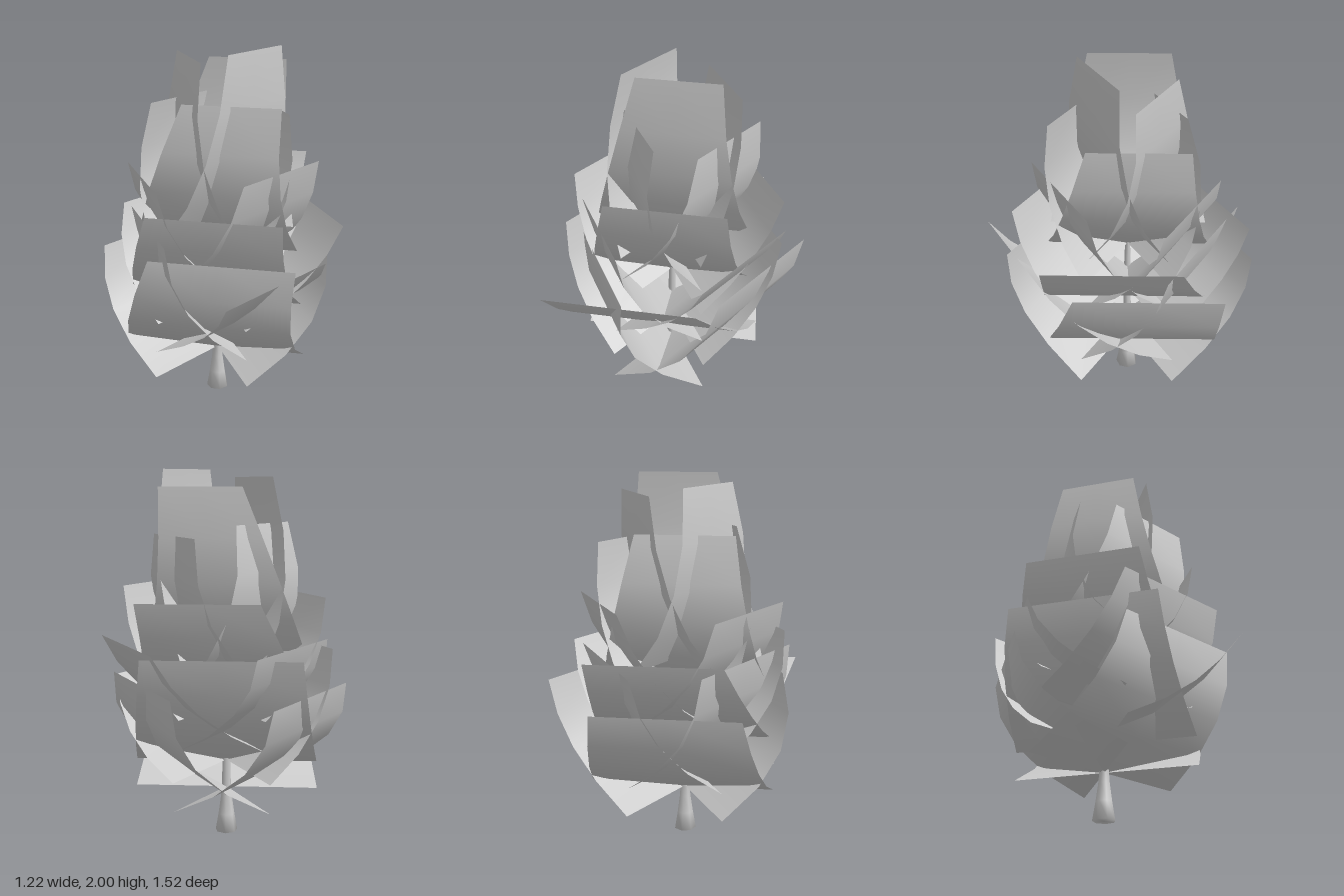
import * as THREE from 'three';

const TRUNK_Z = -0.06;
const ROWS = 4;

// Each tier: direction of its first leaf in degrees from +x towards +z, hub height on the
// trunk, leaf width at the hub, outward bulge, width at the top, and three leaves as
// [top radius, top height, sideways lean].
const TIERS = [
  { name: 'lowestTier', angle: 115, hub: 0.255, base: 1.01, bulge: 0.54, top: 0.78,
    leaves: [[0.46, 0.95, 0.11], [0.55, 0.85, -0.03], [0.55, 0.91, 0.11]] },
  { name: 'secondTier', angle: 55, hub: 0.41, base: 1.0, bulge: 0.41, top: 0.82,
    leaves: [[0.59, 0.87, -0.19], [0.42, 1.07, 0], [0.47, 1.06, 0]] },
  { name: 'thirdTier', angle: 115, hub: 0.57, base: 0.96, bulge: 0.43, top: 0.72,
    leaves: [[0.46, 1.19, 0.07], [0.48, 1.1, -0.1], [0.56, 1.09, -0.08]] },
  { name: 'fourthTier', angle: 55, hub: 0.73, base: 0.89, bulge: 0.38, top: 0.63,
    leaves: [[0.43, 1.39, 0.03], [0.43, 1.33, 0], [0.45, 1.34, -0.12]] },
  { name: 'fifthTier', angle: 115, hub: 0.89, base: 0.9, bulge: 0.37, top: 0.52,
    leaves: [[0.24, 1.74, 0.12], [0.21, 1.72, 0.03], [0.33, 1.66, 0.05]] },
  { name: 'topTier', angle: 55, hub: 1.03, base: 0.85, bulge: 0.28, top: 0.43,
    leaves: [[0.21, 2.0, 0.06], [0.16, 1.96, 0], [0.23, 1.91, -0.12]] },
];

// A curved leaf card: its wide lower edge runs through the trunk, then it sweeps out and up
function leafGeometry({ hub, base, bulge, top }, [topR, topY, lean], angle) {
  const profile = new THREE.QuadraticBezierCurve(
    new THREE.Vector2(0, hub),
    new THREE.Vector2(bulge, hub + 0.38 * (topY - hub)),
    new THREE.Vector2(topR, topY));
  const cos = Math.cos(angle), sin = Math.sin(angle);
  const positions = [], index = [];
  for (let i = 0; i <= ROWS; i++) {
    const u = i / ROWS;
    const { x: r, y } = profile.getPoint(u);
    const width = THREE.MathUtils.lerp(base, top, u);
    for (let j = 0; j < 3; j++) {
      const t = (j - 1) * width / 2 + lean * u * u;
      positions.push(r * cos + t * sin, y, r * sin - t * cos);
      if (i < ROWS && j < 2) {
        const a = i * 3 + j, b = a + 3;
        index.push(a, a + 1, b, a + 1, b + 1, b);
      }
    }
  }
  const geometry = new THREE.BufferGeometry();
  geometry.setAttribute('position', new THREE.Float32BufferAttribute(positions, 3));
  geometry.setIndex(index);
  geometry.computeVertexNormals();
  return geometry;
}

export function createModel() {
  const model = new THREE.Group();
  model.name = 'tree';
  const barkMaterial = new THREE.MeshStandardMaterial({ color: 0xcccccc });
  const leafMaterial = new THREE.MeshStandardMaterial({ color: 0xcccccc, side: THREE.DoubleSide });

  const tree = new THREE.Group();
  tree.name = 'trunkAndFoliage';
  tree.position.z = TRUNK_Z;
  model.add(tree);

  // Slender trunk, flared at the foot
  const profile = [[0, 0], [0.062, 0], [0.045, 0.1], [0.031, 0.2], [0.025, 0.28], [0.018, 0.8], [0, 1.2]];
  const trunk = new THREE.Mesh(
    new THREE.LatheGeometry(profile.map(([r, y]) => new THREE.Vector2(r, y)), 7), barkMaterial);
  trunk.name = 'trunk';
  tree.add(trunk);

  // Foliage: three crossing leaves per tier, successive tiers turned by 60 degrees
  for (const tier of TIERS) {
    const group = new THREE.Group();
    group.name = tier.name;
    tier.leaves.forEach((leaf, k) => {
      const angle = THREE.MathUtils.degToRad(tier.angle + k * 120);
      const mesh = new THREE.Mesh(leafGeometry(tier, leaf, angle), leafMaterial);
      mesh.name = 'leaf';
      group.add(mesh);
    });
    tree.add(group);
  }
  return model;
}
